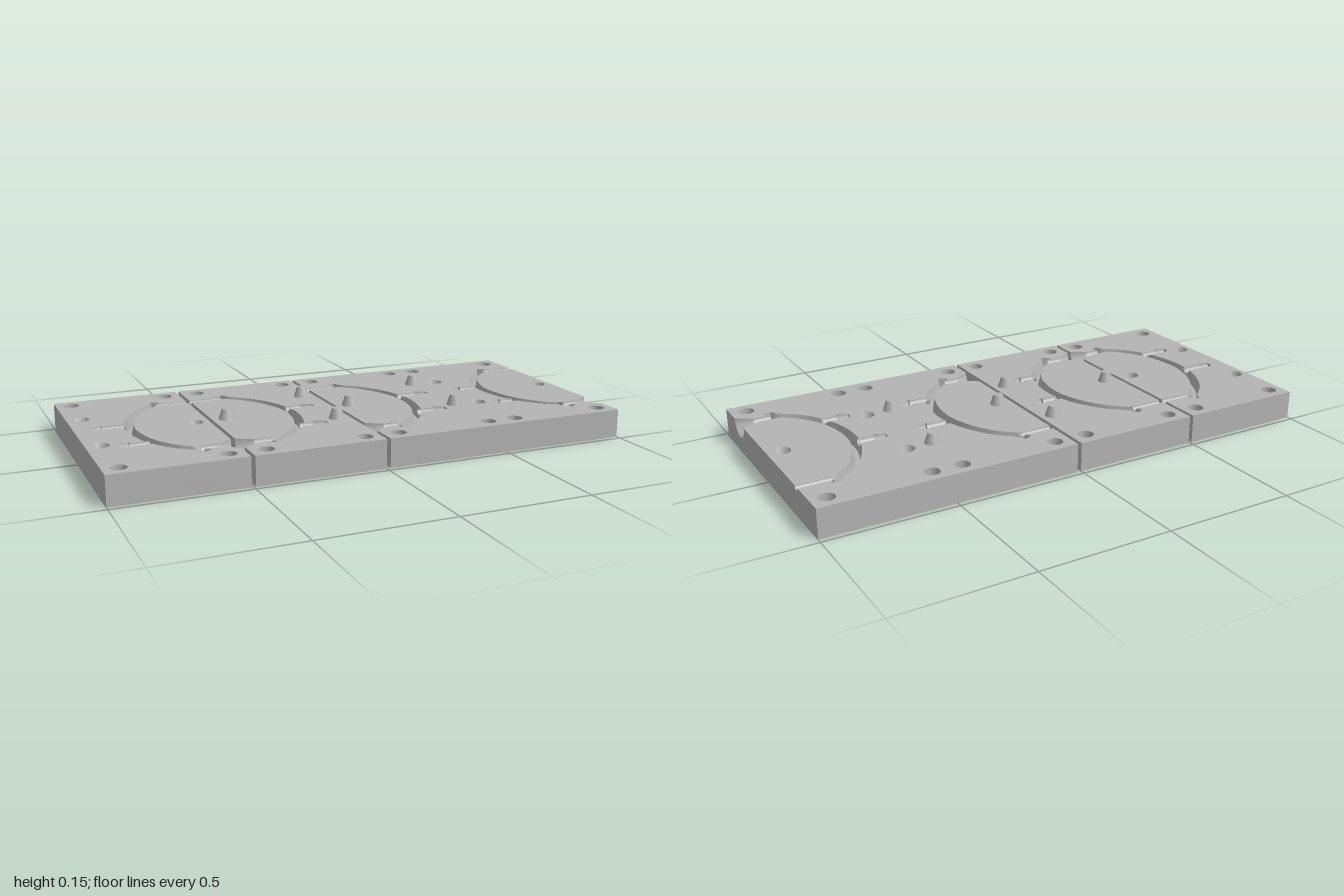
import * as THREE from 'three';
import { mergeGeometries } from 'three/addons/utils/BufferGeometryUtils.js';

// Half-mould block, in local coordinates: u runs away from the parting edge, z along it.
const W = 0.4925, H = 0.48, TOP = 0.11;
const VENT = { z: -0.3, r: 0.013 };
const SPRUE = { z: 0.315, r: 0.02, mouth: 0.055, neck: 0.06 };
const BARBS = [{ z: -0.06, r: 0.019, tip: 0.43 }, { z: 0.185, r: 0.019, tip: 0.385 }];
const BOLTS = [[0.06, -0.42], [0.435, -0.42], [0.06, 0.42], [0.435, 0.42]];
const DOWELS = [[0.055, 0], [0.44, -0.205], [0.44, 0.155]];
const RING = [[0.12, -0.34], [0.14, -0.305], [0.21, -0.235], [0.265, -0.14], [0.295, -0.03],
  [0.29, 0.08], [0.26, 0.18], [0.2, 0.27], [0.13, 0.33], [0.115, 0.36]];

// Merge flat-faceted pieces, mirrored across the parting edge when asked
function finish(list, mirror) {
  const g = mergeGeometries(list.map((p) => {
    const q = p.index ? p.toNonIndexed() : p;
    const out = new THREE.BufferGeometry();
    out.setAttribute('position', q.getAttribute('position').clone());
    return out;
  }));
  if (mirror) {
    g.scale(-1, 1, 1);
    flip(g);
  }
  g.computeVertexNormals();
  return g;
}

// Reverse the corner order of an unindexed geometry
function flip(g) {
  const a = g.getAttribute('position').array;
  for (let i = 0; i < a.length; i += 9) {
    for (let k = 0; k < 3; k++) [a[i + 3 + k], a[i + 6 + k]] = [a[i + 6 + k], a[i + 3 + k]];
  }
  return g;
}

// Horizontal face from a (u, z) outline with round holes [u, z, r]
function face(points, holes, y, up) {
  const shape = new THREE.Shape(points.map(([u, z]) => new THREE.Vector2(u, z)));
  for (const [u, z, r] of holes) shape.holes.push(new THREE.Path().absarc(u, z, r, 0, Math.PI * 2, true));
  const g = new THREE.ShapeGeometry(shape, 12).toNonIndexed();
  g.rotateX(Math.PI / 2).translate(0, y, 0);
  return up ? flip(g) : g;
}

// Turned surface about a vertical axis
function turned(profile, u, z) {
  return new THREE.LatheGeometry(profile.map(([r, y]) => new THREE.Vector2(r, y)), 24).translate(u, 0, z);
}

// Half-round channel along u, sunk below the parting face; profile of [u, r]
function halfBore(profile, z) {
  const pts = profile.map(([u, r]) => new THREE.Vector2(r, u));
  return new THREE.LatheGeometry(pts, 14, 0, Math.PI).rotateZ(-Math.PI / 2).translate(0, TOP, z);
}

// Point on an edge (ordered by z) at a given z
function at(edge, z) {
  let i = 1;
  while (i < edge.length - 1 && edge[i][1] < z) i++;
  const [a, b] = [edge[i - 1], edge[i]];
  return [a[0] + (b[0] - a[0]) * (z - a[1]) / (b[1] - a[1]), z];
}

// Ring groove edges: offset curves of the centre line
function ringEdges(scale) {
  const curve = new THREE.CatmullRomCurve3(RING.map(([u, z]) => new THREE.Vector3(u * scale, 0, z)));
  const N = 64;
  const offset = (d) => Array.from({ length: N + 1 }, (_, i) => {
    const p = curve.getPointAt(i / N), t = curve.getTangentAt(i / N);
    return [p.x + t.z * d, p.z - t.x * d];
  });
  return { outer: offset(0.018), inner: offset(-0.018), floorOut: offset(0.009), floorIn: offset(-0.009) };
}

// Tapered groove, with its lips lowered where channels run into it
function groove(e) {
  const floor = TOP - 0.045, pos = [];
  const lip = ([u, z], bores) => {
    let y = TOP;
    for (const b of bores) {
      const d = Math.abs(z - b.z);
      if (d < b.r) y = TOP - Math.sqrt(b.r * b.r - d * d);
    }
    return [u, y, z];
  };
  const rows = e.outer.map((p, i) => [
    lip(p, BARBS),
    [e.floorOut[i][0], floor, e.floorOut[i][1]],
    [e.floorIn[i][0], floor, e.floorIn[i][1]],
    lip(e.inner[i], [VENT, SPRUE]),
  ]);
  const quad = (a, b, c, d) => pos.push(...a, ...b, ...c, ...a, ...c, ...d);
  for (let i = 0; i < rows.length - 1; i++) {
    for (let k = 0; k < 3; k++) quad(rows[i][k], rows[i][k + 1], rows[i + 1][k + 1], rows[i + 1][k]);
  }
  quad(...rows[0].slice().reverse());
  quad(...rows[rows.length - 1]);
  const g = new THREE.BufferGeometry();
  g.setAttribute('position', new THREE.Float32BufferAttribute(pos, 3));
  return g;
}

function halfMould({ edgeX, mirror, pins, scale, outerWall }, material) {
  const group = new THREE.Group();
  const e = ringEdges(scale);
  const { inner, outer } = e;
  const add = (name, list) => {
    const mesh = new THREE.Mesh(finish(list, mirror), material);
    mesh.name = name;
    group.add(mesh);
  };

  // Outline of the groove's outer lip, including the barbed channels
  let lip = outer;
  for (const { z, r, tip } of BARBS) {
    const b = tip - 0.045;
    lip = [
      ...lip.filter((p) => p[1] < z - r), at(outer, z - r),
      [b, z - r], [b, z - 0.031], [tip, z - 0.014], [tip, z + 0.014], [b, z + 0.031], [b, z + r],
      at(outer, z + r), ...lip.filter((p) => p[1] > z + r),
    ];
  }
  const v0 = VENT.z - VENT.r, v1 = VENT.z + VENT.r;
  const s0 = SPRUE.z - SPRUE.r, s1 = SPRUE.z + SPRUE.r;

  // Parting face outside the groove, and the island within it
  const outside = [
    [0, -H], [0, v0], at(inner, v0), ...inner.filter((p) => p[1] < v0).reverse(), ...lip,
    ...inner.filter((p) => p[1] > s1).reverse(), at(inner, s1),
    [SPRUE.neck, s1], [0, SPRUE.z + SPRUE.mouth], [0, H], [W, H], [W, -H],
  ];
  const island = [
    [0, v1], at(inner, v1), ...inner.filter((p) => p[1] > v1 && p[1] < s0), at(inner, s0),
    [SPRUE.neck, s0], [0, SPRUE.z - SPRUE.mouth],
  ];
  const bolts = BOLTS.map(([u, z]) => [u, z, 0.03]);
  const sockets = pins ? [] : DOWELS.map(([u, z]) => [u, z, 0.033]);

  // Parting edge wall with half-round mouths
  const wall = new THREE.Shape();
  wall.moveTo(-H, 0).lineTo(H, 0).lineTo(H, TOP).lineTo(SPRUE.z + SPRUE.mouth, TOP);
  wall.absarc(SPRUE.z, TOP, SPRUE.mouth, 0, Math.PI, true);
  wall.lineTo(v1, TOP);
  wall.absarc(VENT.z, TOP, VENT.r, 0, Math.PI, true);
  wall.lineTo(-H, TOP);

  const block = [
    face(outside, [...bolts, ...sockets.slice(1)], TOP, true),
    face(island, sockets.slice(0, 1), TOP, true),
    face([[0, -H], [W, -H], [W, H], [0, H]], bolts, 0, false),
    new THREE.ShapeGeometry(wall, 7).rotateY(-Math.PI / 2),
    new THREE.PlaneGeometry(W, TOP).translate(W / 2, TOP / 2, H),
    new THREE.PlaneGeometry(W, TOP).rotateY(Math.PI).translate(W / 2, TOP / 2, -H),
  ];
  if (outerWall) block.push(new THREE.PlaneGeometry(2 * H, TOP).rotateY(Math.PI / 2).translate(W, TOP / 2, 0));
  add('mouldBlock', block);
  add('boltHoles', BOLTS.map(([u, z]) => turned([[0.03, TOP], [0.03, 0]], u, z)));
  add('ringGroove', [groove(e)]);

  // Channels running into the groove
  add('ventChannel', [halfBore([[0, VENT.r], [at(inner, VENT.z)[0], VENT.r]], VENT.z)]);
  add('sprueFunnel', [halfBore([[0, SPRUE.mouth], [SPRUE.neck, SPRUE.r],
    [at(inner, SPRUE.z)[0], SPRUE.r]], SPRUE.z)]);
  add('barbedChannels', BARBS.map(({ z, r, tip }) => halfBore([
    [Math.min(at(outer, z - r)[0], at(outer, z + r)[0]), r],
    [tip - 0.045, r], [tip - 0.045, 0.031], [tip, 0.014], [tip, 0]], z)));

  // Tapered locating pins or their matching sockets
  const dowel = pins
    ? [[0.031, TOP], [0.018, TOP + 0.04], [0, TOP + 0.04]]
    : [[0, TOP - 0.042], [0.018, TOP - 0.042], [0.033, TOP]];
  add(pins ? 'locatingPins' : 'locatingSockets', DOWELS.map(([u, z]) => turned(dowel, u, z)));

  group.position.x = edgeX;
  return group;
}

export function createModel() {
  const model = new THREE.Group();
  model.name = 'mouldSet';
  const grey = new THREE.MeshStandardMaterial({ color: 0xb4b4b4, side: THREE.DoubleSide });
  grey.name = 'plain grey';

  // Two separate halves, then two joined back to back
  const halves = [
    { name: 'socketHalf', edgeX: -1 + W, mirror: true, pins: false, scale: 1, outerWall: true },
    { name: 'pinHalf', edgeX: -W, mirror: false, pins: true, scale: 1.06, outerWall: true },
    { name: 'joinedPinHalf', edgeX: 1 - 2 * W, mirror: false, pins: true, scale: 1, outerWall: false },
    { name: 'joinedSocketHalf', edgeX: 1, mirror: true, pins: false, scale: 1.06, outerWall: false },
  ];
  for (const h of halves) {
    const part = halfMould(h, grey);
    part.name = h.name;
    model.add(part);
  }
  return model;
}
